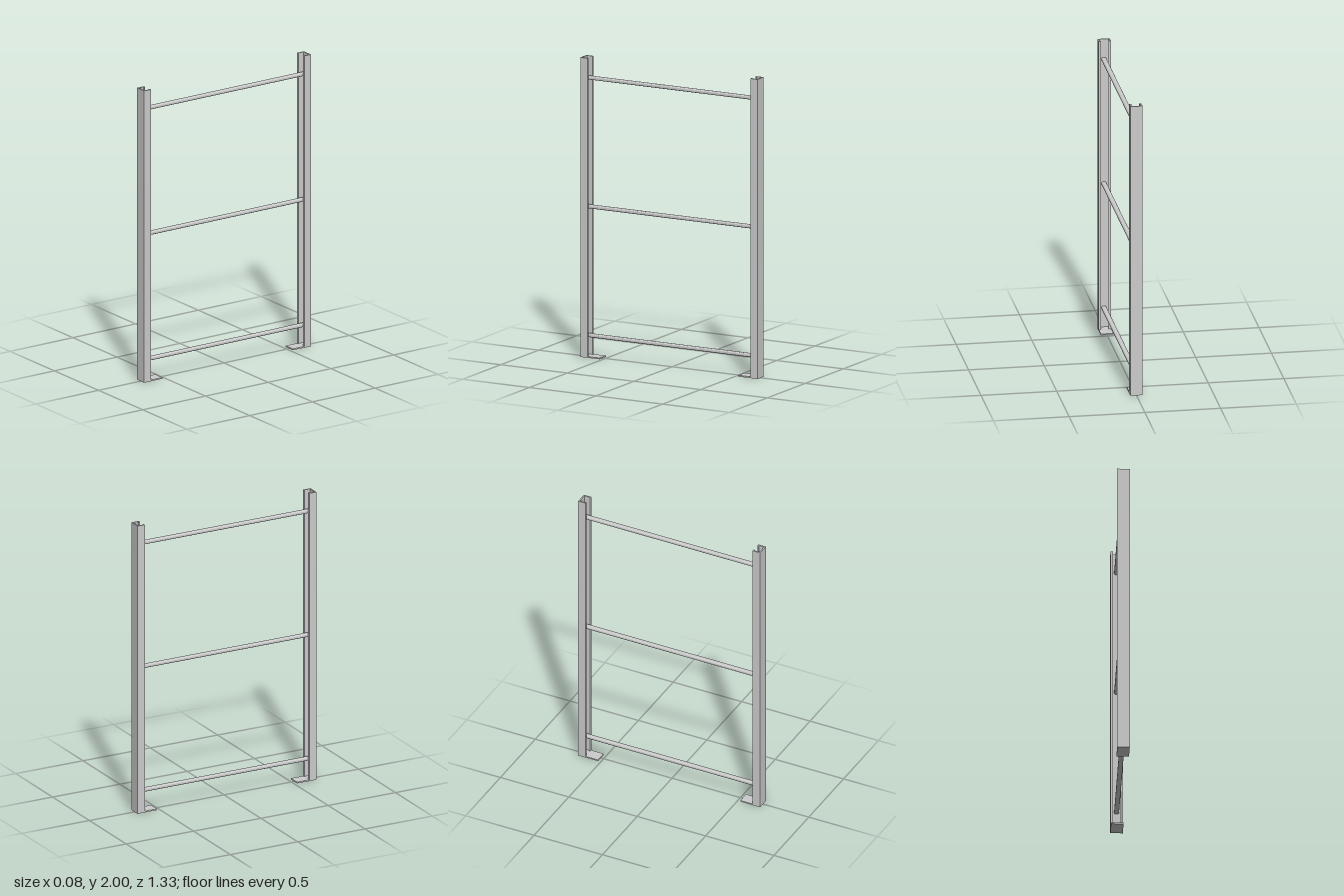
import * as THREE from 'three';

const material = new THREE.MeshStandardMaterial({ color: 0xcccccc });
const HALF_W = 0.041, OUTER = 0.665, INNER = 0.611, PLATE_T = 0.009;

function addMesh(parent, name, geometry) {
  const mesh = new THREE.Mesh(geometry, material);
  mesh.name = name;
  parent.add(mesh);
  return mesh;
}

// Lipped channel section, open towards the middle of the frame
function channelGeometry() {
  const t = 0.009, lip = 0.026;
  const half = [
    [HALF_W, OUTER], [HALF_W, INNER], [lip, INNER], [lip, INNER + t],
    [HALF_W - t, INNER + t], [HALF_W - t, OUTER - t],
  ];
  const mirrored = half.map(([x, y]) => [-x, y]).reverse();
  const shape = new THREE.Shape([...half, ...mirrored].map(([x, y]) => new THREE.Vector2(x, y)));
  const geometry = new THREE.ExtrudeGeometry(shape, { depth: 2 - PLATE_T, bevelEnabled: false });
  return geometry.rotateX(-Math.PI / 2).translate(0, PLATE_T, 0);
}

// Rounded bar running along z
function rungGeometry() {
  const w = 0.016, h = 0.012, r = 0.009, length = 1.3;
  const shape = new THREE.Shape();
  const corners = [[w - r, h - r], [r - w, h - r], [r - w, r - h], [w - r, r - h]];
  corners.forEach(([x, y], i) => {
    shape.absarc(x, y, r, i * Math.PI / 2, (i + 1) * Math.PI / 2, false);
  });
  const geometry = new THREE.ExtrudeGeometry(shape, { depth: length, bevelEnabled: false, curveSegments: 6 });
  return geometry.translate(0, 0, -length / 2);
}

export function createModel() {
  const model = new THREE.Group();
  model.name = 'uprightFrame';

  // Posts with foot plates, the front one turned to face the back one
  const plateDepth = OUTER - 0.52;
  for (const [name, angle] of [['backPost', 0], ['frontPost', Math.PI]]) {
    const post = new THREE.Group();
    post.name = name;
    post.rotation.y = angle;
    addMesh(post, 'channel', channelGeometry());
    addMesh(post, 'footPlate', new THREE.BoxGeometry(HALF_W * 2, PLATE_T, plateDepth))
      .position.set(0, PLATE_T / 2, -OUTER + plateDepth / 2);
    model.add(post);
  }

  // Three crossbars reaching inside the channels
  ['lowerRung', 'middleRung', 'upperRung'].forEach((name, i) => {
    addMesh(model, name, rungGeometry()).position.y = 0.143 + i * 0.86;
  });

  return model;
}
